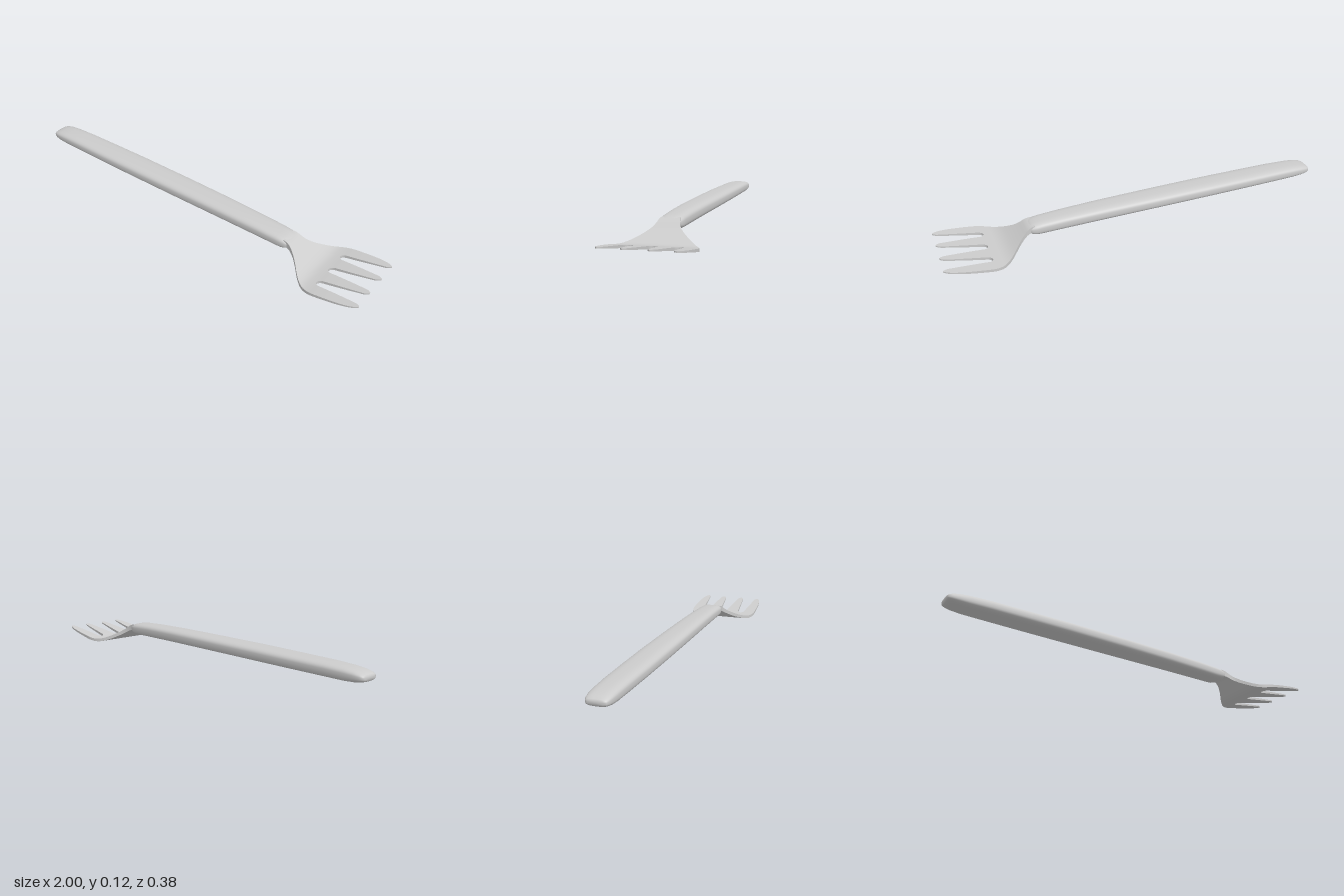
import * as THREE from 'three';
import { mergeVertices, toCreasedNormals } from 'three/addons/utils/BufferGeometryUtils.js';

const material = new THREE.MeshStandardMaterial({ color: 0xcccccc });

// Smooth lookup in a table of [x, value] pairs
function at(table, x) {
  const n = table.length - 1;
  let i = 0;
  while (i < n - 1 && x > table[i + 1][0]) i++;
  const slope = (k) => {
    const a = table[Math.max(k - 1, 0)], b = table[Math.min(k + 1, n)];
    return (b[1] - a[1]) / (b[0] - a[0]);
  };
  const [x0, v0] = table[i], [x1, v1] = table[i + 1];
  const d = x1 - x0, t = THREE.MathUtils.clamp((x - x0) / d, 0, 1), s = 1 - t;
  return v0 * (1 + 2 * t) * s * s + v1 * t * t * (3 - 2 * t) + d * t * s * (slope(i) * s - slope(i + 1) * t);
}

function build(name, positions, index) {
  const g = new THREE.BufferGeometry();
  g.setAttribute('position', new THREE.Float32BufferAttribute(positions, 3));
  if (index) g.setIndex(index);
  let geo = mergeVertices(g, 1e-5);
  if (index) geo.computeVertexNormals();
  else geo = toCreasedNormals(geo, 0.9);
  const mesh = new THREE.Mesh(geo, material);
  mesh.name = name;
  return mesh;
}

// Handle: rounded-rectangle rings [x, centre y, half width, half height]
function makeHandle() {
  const rings = [
    [-1, 0.083, 0, 0], [-1, 0.083, 0.036, 0.009], [-0.995, 0.083, 0.046, 0.015],
    [-0.98, 0.084, 0.053, 0.021], [-0.95, 0.085, 0.058, 0.027], [-0.9, 0.086, 0.061, 0.031],
    [-0.8, 0.088, 0.064, 0.033], [-0.6, 0.089, 0.067, 0.034], [-0.4, 0.09, 0.068, 0.035],
    [-0.1, 0.09, 0.067, 0.035], [0.2, 0.089, 0.063, 0.035], [0.4, 0.086, 0.059, 0.034],
    [0.5, 0.083, 0.057, 0.032], [0.53, 0.082, 0.056, 0.03], [0.55, 0.082, 0.052, 0.025],
    [0.563, 0.083, 0.046, 0.018], [0.57, 0.083, 0.036, 0.01], [0.571, 0.083, 0, 0],
  ];
  const N = 40, pos = [], index = [];
  const power = (v) => Math.sign(v) * Math.abs(v) ** 0.68;
  rings.forEach(([x, y, w, h], i) => {
    for (let k = 0; k < N; k++) {
      const a = (k / N) * Math.PI * 2;
      pos.push(x, y + h * power(Math.sin(a)), w * power(Math.cos(a)));
      if (i === rings.length - 1) continue;
      const p = i * N + k, q = i * N + (k + 1) % N;
      index.push(p, p + N, q, q, p + N, q + N);
    }
  });
  return build('handle', pos, index);
}

// Head: four side-by-side strips that part into tines beyond the slot roots
function makeHead() {
  const ROOT = 0.765, SLOT = 0.11;
  const halfWidth = [[0.54, 0.044], [0.565, 0.047], [0.585, 0.052], [0.61, 0.066], [0.64, 0.093],
    [0.67, 0.125], [0.7, 0.153], [0.73, 0.174], [0.765, 0.186], [0.8, 0.189], [0.9, 0.186],
    [0.95, 0.18], [0.98, 0.172], [1, 0.16]];
  const height = [[0.54, 0.089], [0.57, 0.085], [0.6, 0.066], [0.64, 0.04], [0.68, 0.018],
    [0.715, 0.0085], [0.75, 0.0105], [0.8, 0.019], [0.9, 0.035], [1, 0.051]];
  const thickness = [[0.54, 0.018], [0.6, 0.011], [0.7, 0.008], [0.85, 0.006], [1, 0.003]];

  const xs = [];
  for (let i = 0; i < 16; i++) xs.push(0.54 + (ROOT - 0.54) * i / 16);
  for (let i = 0; i <= 24; i++) xs.push(ROOT + (1 - ROOT) * (1 - Math.cos(Math.PI * i / 24)) / 2);

  // Inner and outer z of a tine on the +z side at x
  const edges = (x, outer) => {
    const w = at(halfWidth, x);
    if (x <= ROOT) {
      const s = SLOT * w / at(halfWidth, ROOT);
      return outer ? [s, w] : [0, s];
    }
    const u = (x - ROOT) / (1 - ROOT);
    const round = Math.sqrt(1 - (1 - Math.min(u / 0.1, 1)) ** 2);
    const tip = Math.sqrt(Math.min(1, Math.max(1 - u, 0.001) / 0.08));
    const f = (1 - 0.36 * round) * (1 - 0.65 * u ** 1.2) * tip;
    const c = outer ? 0.157 : 0.055;
    return [c + ((outer ? SLOT : 0) - c) * f, outer ? Math.max(w, c + 0.002) : c + (SLOT - c) * f];
  };

  const pos = [];
  const quad = (a, b, c, d) => pos.push(...a, ...b, ...c, ...a, ...c, ...d);
  for (const side of [-1, 1]) for (const outer of [false, true]) {
    // Corners of one cross-section: top low z, top high z, bottom high z, bottom low z
    const section = (x) => {
      const [z0, z1] = edges(x, outer).map((z) => z * side).sort((a, b) => a - b);
      const y = at(height, x), t = at(thickness, x);
      return [[x, y + t, z0], [x, y + t, z1], [x, y - t, z1], [x, y - t, z0]];
    };
    for (let i = 0; i < xs.length - 1; i++) {
      const p = section(xs[i]), q = section(xs[i + 1]);
      const free = xs[i] >= ROOT - 1e-9;
      quad(p[0], p[1], q[1], q[0]);
      quad(p[2], p[3], q[3], q[2]);
      if (free || (outer && side > 0)) quad(p[1], p[2], q[2], q[1]);
      if (free || (outer && side < 0)) quad(p[3], p[0], q[0], q[3]);
    }
    const e = section(1);
    quad(e[0], e[1], e[2], e[3]);
  }
  return build('headWithTines', pos);
}

export function createModel() {
  const group = new THREE.Group();
  group.name = 'fork';
  group.add(makeHandle(), makeHead());
  return group;
}
